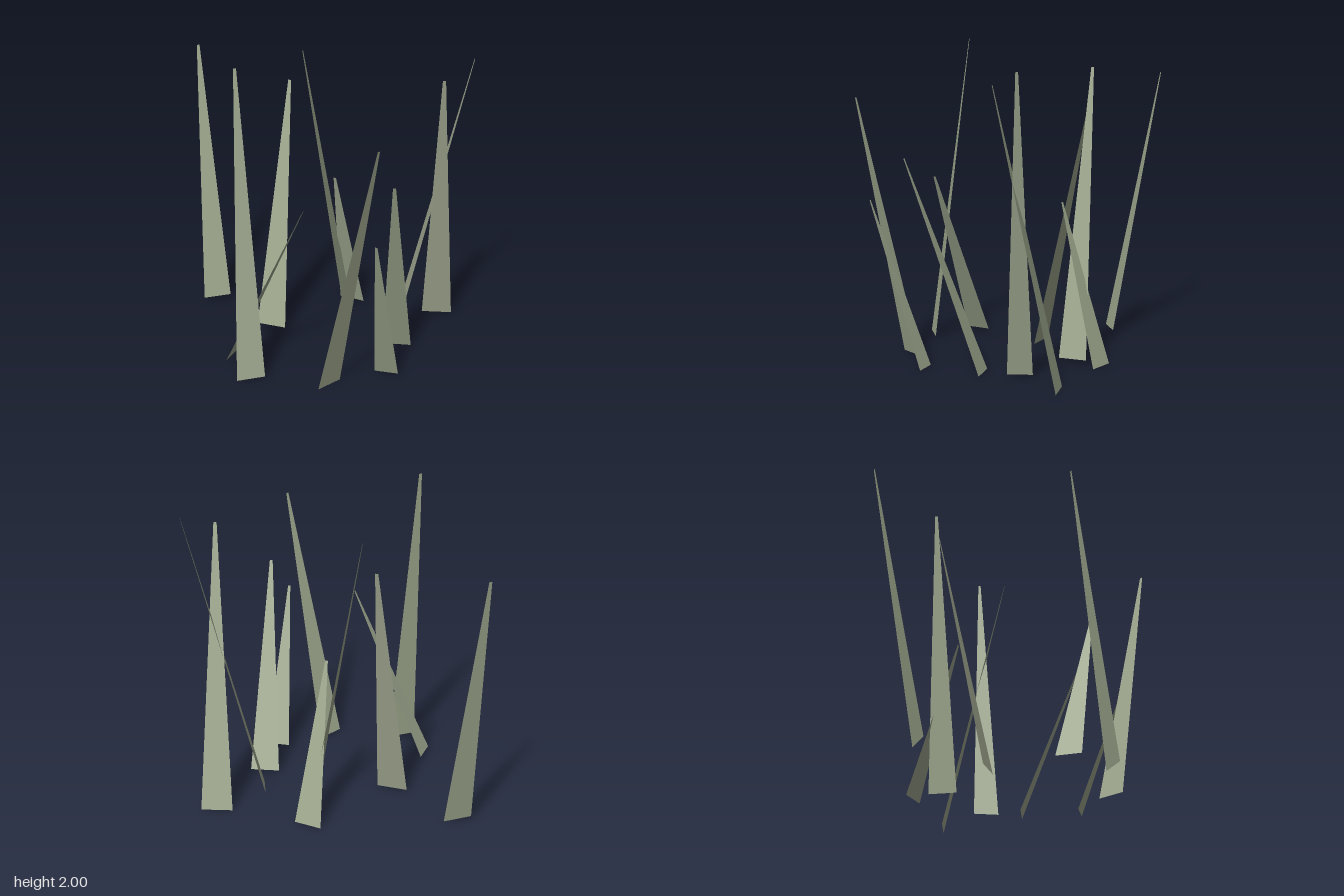
import * as THREE from 'three';

const bladeGreen = new THREE.MeshStandardMaterial({ color: 0xa0a98f, side: THREE.DoubleSide });
bladeGreen.name = 'sageGreen';

// One flat tapering blade: base corners a and b ([x, z] at height y0) narrowing to a small tip edge
function makeBlade([a, b, y0, tip]) {
  const [tx, ty, tz] = tip;
  const hx = (b[0] - a[0]) * 0.05, hz = (b[1] - a[1]) * 0.05;
  const geometry = new THREE.BufferGeometry();
  geometry.setAttribute('position', new THREE.Float32BufferAttribute([
    a[0], y0, a[1],
    b[0], y0, b[1],
    tx + hx, ty, tz + hz,
    tx - hx, ty, tz - hz,
  ], 3));
  geometry.setIndex([0, 1, 2, 0, 2, 3]);
  geometry.computeVertexNormals();
  return new THREE.Mesh(geometry, bladeGreen);
}

// Base corner, base corner, base height, tip centre
const blades = [
  [[-0.855, -0.405], [-0.698, -0.51], 0.025, [-0.968, 1.765, -0.735]],
  [[-0.28, 0.652], [-0.125, 0.55], 0.015, [-0.343, 2.0, 0.393]],
  [[-0.39, -0.155], [-0.19, -0.135], 0.015, [-0.253, 1.655, -0.492]],
  [[-0.42, 0.445], [-0.4, 0.282], 0.03, [0.097, 1.135, 0.446]],
  [[0.145, -0.435], [0.145, -0.617], 0.035, [-0.175, 1.852, -0.531]],
  [[0.045, -0.735], [0.222, -0.692], 0.005, [0.075, 1.022, -0.425]],
  [[0.24, 0.603], [0.338, 0.442], 0.005, [0.628, 1.685, 0.728]],
  [[0.647, -0.645], [0.845, -0.68], 0.005, [0.817, 1.812, -0.265]],
  [[0.497, -0.398], [0.548, -0.247], 0.01, [0.968, 1.905, -0.481]],
  [[0.493, -0.092], [0.68, -0.115], 0.015, [0.653, 1.327, 0.39]],
  [[0.525, 0.28], [0.68, 0.28], 0.01, [0.605, 1.045, 0.65]],
];

export function createModel() {
  const group = new THREE.Group();
  group.name = 'grassTuft';
  blades.forEach((blade, i) => {
    const mesh = makeBlade(blade);
    mesh.name = `grassBlade${i + 1}`;
    group.add(mesh);
  });
  return group;
}
